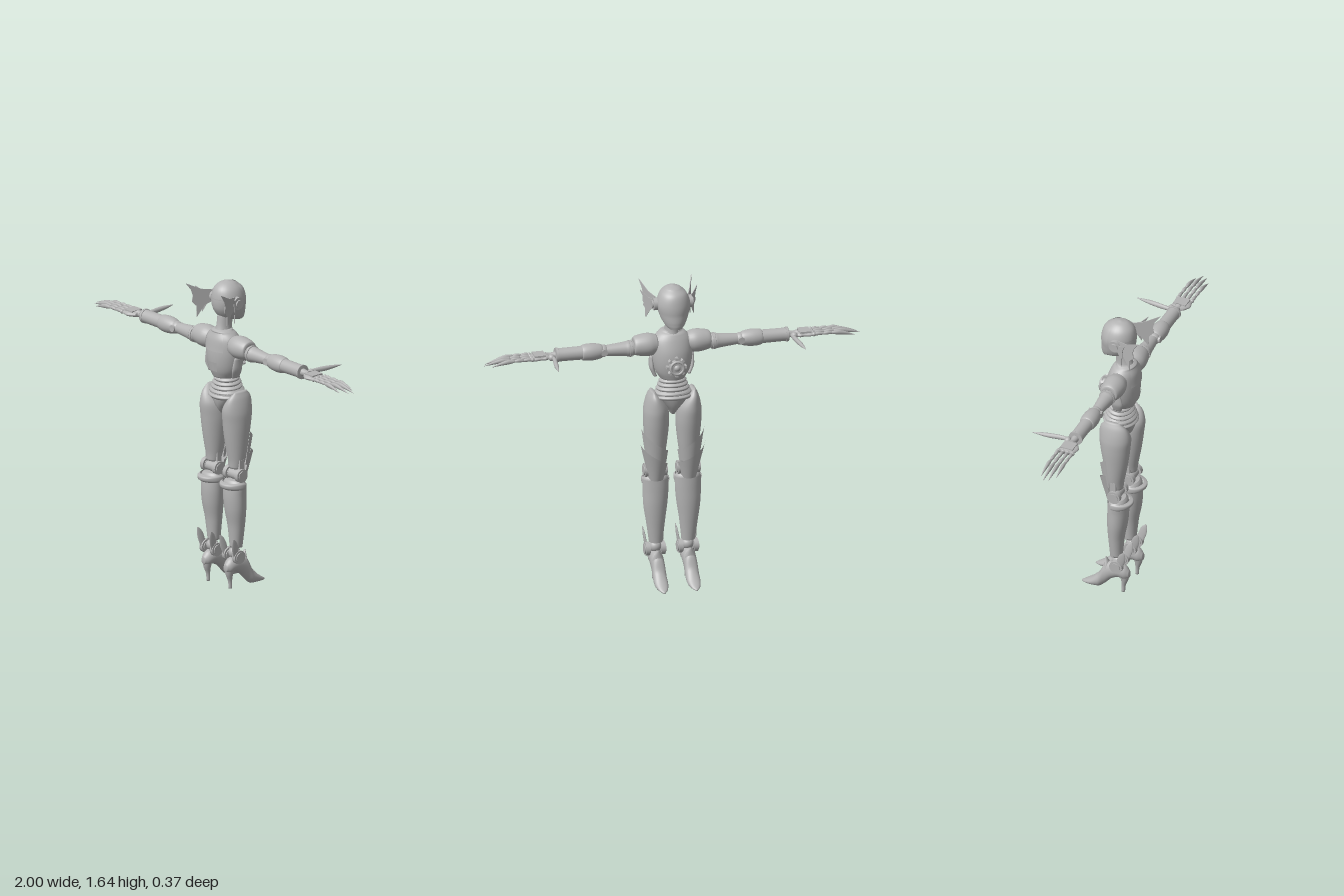
import * as THREE from 'three';
import { mergeVertices } from 'three/addons/utils/BufferGeometryUtils.js';

const metal = new THREE.MeshStandardMaterial({ color: 0xb4b4b4, side: THREE.DoubleSide });
metal.name = 'pale grey';

function add(parent, name, geo, pos = [0, 0, 0], rot = [0, 0, 0]) {
  const m = new THREE.Mesh(geo, metal);
  m.name = name;
  m.position.set(...pos);
  m.rotation.set(...rot);
  parent.add(m);
  return m;
}

// Smooth surface from a rule f(u, v) -> [x, y, z]
function grid(f, nu, nv) {
  const p = [], idx = [];
  for (let j = 0; j <= nv; j++) for (let i = 0; i <= nu; i++) p.push(...f(i / nu, j / nv));
  for (let j = 0; j < nv; j++) for (let i = 0; i < nu; i++) {
    const a = j * (nu + 1) + i, b = a + nu + 1;
    idx.push(a, a + 1, b, a + 1, b + 1, b);
  }
  let g = new THREE.BufferGeometry();
  g.setAttribute('position', new THREE.Float32BufferAttribute(p, 3));
  g.setIndex(idx);
  g = mergeVertices(g, 1e-5);
  g.computeVertexNormals();
  return g;
}

// Closed ellipse loft along y; each section is [y, cx, cz, rx, rz]
function loft(s, n = 28, arc = [0, Math.PI * 2], grow = 0) {
  const close = arc[1] - arc[0] > 6.2;
  const list = close ? [[...s[0].slice(0, 3), 0, 0], ...s, [...s[s.length - 1].slice(0, 3), 0, 0]] : s;
  const at = (t) => {
    if (close && t === 0) return list[0];
    if (close && t === 1) return list[list.length - 1];
    return [A.getPoint(close ? (t - e) / (1 - 2 * e) : t), B.getPoint(close ? (t - e) / (1 - 2 * e) : t)]
      .flatMap((q, k) => k ? [q.x, q.y] : [q.x, q.y, q.z]);
  };
  const A = new THREE.CatmullRomCurve3(s.map((q) => new THREE.Vector3(q[0], q[3], q[4])));
  const B = new THREE.CatmullRomCurve3(s.map((q) => new THREE.Vector3(q[1], q[2], 0)));
  const nv = s.length * 5, e = 1 / nv;
  return grid((u, v) => {
    const q = at(v), a = arc[0] + (arc[1] - arc[0]) * u;
    let [y, rx, rz, cx, cz] = q;
    if (close && (v === 0 || v === 1)) [y, cx, cz, rx, rz] = q;
    rx = Math.max(0, rx + (rx ? grow : 0));
    rz = Math.max(0, rz + (rz ? grow : 0));
    return [cx + Math.sin(a) * rx, y, cz + Math.cos(a) * rz];
  }, n, nv);
}

const ball = (r) => new THREE.SphereGeometry(r, 24, 16);
const disc = (r, h) => new THREE.CylinderGeometry(r, r, h, 28);
const SIDE = [0, 0, Math.PI / 2], ALONG_X = [0, 0, -Math.PI / 2], ALONG_Z = [-Math.PI / 2, 0, 0];

function buildHead(g) {
  const skull = [[1.425, 0, -0.045, 0.03, 0.028], [1.45, 0, -0.008, 0.056, 0.07], [1.5, 0, 0.01, 0.077, 0.088],
    [1.55, 0, 0.013, 0.085, 0.09], [1.6, 0, 0.015, 0.07, 0.077], [1.63, 0, 0.017, 0.04, 0.045], [1.642, 0, 0.018, 0.006, 0.006]];
  add(g, 'head', loft(skull));
  add(g, 'facePlate', loft(skull.slice(0, 6), 24, [Math.PI * 0.62, Math.PI * 1.38], 0.005));
  add(g, 'crownSeam', loft([[1.553, 0, 0.013, 0.086, 0.091], [1.558, 0, 0.013, 0.086, 0.091]], 24, [-1.5, 1.5]));
  add(g, 'neck', loft([[1.36, 0, 0.045, 0.045, 0.055], [1.4, 0, 0.04, 0.036, 0.045], [1.47, 0, 0.03, 0.036, 0.045]]));
}

function buildTorso(g) {
  const chest = [[1.13, 0, 0.03, 0.066, 0.066], [1.17, 0, 0.032, 0.09, 0.08], [1.22, 0, 0.033, 0.103, 0.088],
    [1.28, 0, 0.036, 0.108, 0.086], [1.34, 0, 0.042, 0.1, 0.072], [1.375, 0, 0.045, 0.07, 0.056], [1.39, 0, 0.045, 0.045, 0.045]];
  add(g, 'chest', loft(chest, 36));
  add(g, 'upperBackPanel', loft(chest.slice(3, 6), 16, [-0.66, 0.66], 0.005));
  add(g, 'lowerBackPanel', loft(chest.slice(1, 3), 12, [-0.3, 0.3], 0.005));
  // Ribbed waist
  for (let i = 0; i < 5; i++) {
    const y = 1.13 - i * 0.021, r = 0.066 + i * 0.008;
    add(g, 'waistRing', loft([[y - 0.02, 0, 0.022, r, r * 0.86], [y - 0.008, 0, 0.022, r + 0.007, r * 0.86 + 0.007],
      [y + 0.004, 0, 0.022, r - 0.004, r * 0.86 - 0.004]]), [0, 0, 0], [0.08, 0, 0]).position.z = -0.09 + (i * 0.0015);
  }
  add(g, 'pelvis', loft([[0.93, 0, 0.03, 0.012, 0.03], [0.96, 0, 0.028, 0.03, 0.055], [1.0, 0, 0.025, 0.064, 0.073],
    [1.05, 0, 0.022, 0.1, 0.08], [1.07, 0, 0.022, 0.085, 0.07]], 32));
  // Round mechanism on the chest front
  add(g, 'coreHub', disc(0.036, 0.05), [0, 1.215, -0.06], ALONG_Z);
  add(g, 'coreRing', new THREE.TorusGeometry(0.034, 0.007, 10, 28), [0, 1.215, -0.083]);
  add(g, 'coreLens', ball(0.02), [0, 1.215, -0.075]);
  for (let i = 0; i < 8; i++) {
    const a = i * Math.PI / 4;
    add(g, 'coreTooth', new THREE.BoxGeometry(0.014, 0.014, 0.03), [Math.cos(a) * 0.046, 1.215 + Math.sin(a) * 0.046, -0.06], [0, 0, a]);
  }
}

function buildEar(g) {
  add(g, 'earDisc', disc(0.033, 0.03), [0.087, 1.54, 0.028], SIDE);
  add(g, 'earCap', disc(0.02, 0.04), [0.09, 1.54, 0.028], SIDE);
  const fin = new THREE.Shape([[0, 0.035], [0.065, 0.045], [0.15, 0.085], [0.12, 0.045], [0.11, 0.015], [0.115, -0.02], [0.09, -0.045],
    [0.088, -0.105], [0.045, -0.045], [0, -0.025]].map((q) => new THREE.Vector2(...q)));
  const geo = new THREE.ExtrudeGeometry(fin, { depth: 0.004, bevelEnabled: false });
  add(g, 'earFin', geo, [0.09, 1.54, 0.04], [0, -Math.PI / 2 + 0.35, 0]);
  const small = add(g, 'innerEarFin', geo, [0.092, 1.53, 0.04], [0, -Math.PI / 2 + 0.75, 0]);
  small.scale.set(0.6, 0.75, 1);
}

function buildArm(g) {
  const arm = new THREE.Group();
  arm.name = 'arm';
  arm.position.set(0, 1.3, 0.042);
  g.add(arm);
  const parts = {
    shoulder: [[0.08, 0.05], [0.12, 0.06], [0.165, 0.057], [0.2, 0.047], [0.205, 0.036]],
    upperArm: [[0.2, 0.037], [0.23, 0.041], [0.25, 0.038], [0.33, 0.03], [0.36, 0.027]],
    forearmBulge: [[0.365, 0.03], [0.38, 0.038], [0.43, 0.045], [0.475, 0.04], [0.48, 0.035]],
    forearm: [[0.47, 0.036], [0.53, 0.035], [0.6, 0.035], [0.615, 0.036]],
    cuff: [[0.605, 0.038], [0.618, 0.038]],
    wrist: [[0.615, 0.02], [0.65, 0.016], [0.67, 0.02]],
  };
  for (const [name, s] of Object.entries(parts))
    add(arm, name, loft(s.map(([x, r]) => [x, name === 'shoulder' ? -0.013 : 0, 0, r, r])), [0, 0, 0], ALONG_X);
  add(arm, 'elbow', ball(0.033), [0.365, 0, 0]);
  add(arm, 'elbowPin', disc(0.018, 0.076), [0.365, 0, 0], ALONG_Z);
  add(arm, 'shoulderBand', loft([[0.215, 0, 0, 0.044, 0.044], [0.228, 0, 0, 0.044, 0.044]]), [0, 0, 0], ALONG_X);
  // Hand
  add(arm, 'palm', loft([[0.655, 0, 0, 0.013, 0.03], [0.68, 0, 0.002, 0.016, 0.045], [0.73, 0, 0.002, 0.014, 0.047],
    [0.75, 0, 0.002, 0.01, 0.044]]), [0, -0.002, 0], ALONG_X);
  add(arm, 'handPlate', new THREE.BoxGeometry(0.06, 0.012, 0.07), [0.705, 0.01, 0.002]);
  [0.965, 1, 0.99, 0.95].forEach((end, i) => {
    const z = -0.036 + i * 0.026, L = end - 0.745;
    const seg = (a, b) => [[0.745 + L * a, 0, z, 0.007, 0.007], [0.745 + L * (a + b) / 2, -0.002, z, 0.0095, 0.009], [0.745 + L * b, 0, z, 0.006, 0.006]];
    add(arm, 'fingerBase', loft(seg(0, 0.25), 10), [0, 0, 0], ALONG_X);
    add(arm, 'fingerMiddle', loft(seg(0.24, 0.46), 10), [0, 0, 0], ALONG_X);
    add(arm, 'fingerClaw', loft([[0.745 + L * 0.45, 0, z, 0.007, 0.007], [0.745 + L * 0.6, 0.001, z, 0.012, 0.009],
      [0.745 + L * 0.8, 0.009, z, 0.008, 0.006], [end, 0.022, z, 0.001, 0.001]], 10), [0, 0, 0], ALONG_X);
    add(arm, 'knuckle', ball(0.011), [0.748, 0, z]);
  });
  // Curved thumb blade reaching forward
  add(arm, 'thumbBase', ball(0.018), [0.645, 0, -0.03]);
  add(arm, 'thumbBlade', loft([[0.02, 0.634, 0, 0.009, 0.009], [0.08, 0.639, 0, 0.011, 0.013], [0.14, 0.647, 0, 0.012, 0.012],
    [0.19, 0.652, 0, 0.008, 0.007], [0.23, 0.657, 0, 0.001, 0.001]], 12), [0, 0, 0], ALONG_Z);
}

// Flared guard around the leg front, rising to a point on the outer side
function guard(low, inner, outer, r0, flare) {
  return grid((u, v) => {
    const a = Math.PI + 1.35 - 2.7 * u, top = inner + (outer - inner) * u ** 1.5;
    const y = low + (top - low) * v, r = r0 + flare * (y - low);
    return [0.087 + Math.sin(a) * r, y, 0.03 + Math.cos(a) * r * 1.1];
  }, 20, 8);
}

function buildLeg(g) {
  add(g, 'thigh', loft([[0.65, 0.087, 0.035, 0.036, 0.036], [0.7, 0.087, 0.03, 0.047, 0.047], [0.8, 0.086, 0.03, 0.06, 0.065],
    [0.9, 0.086, 0.028, 0.067, 0.08], [0.97, 0.088, 0.028, 0.062, 0.086], [1.03, 0.1, 0.024, 0.035, 0.072], [1.065, 0.108, 0.02, 0.01, 0.04]], 32));
  add(g, 'thighGuard', guard(0.67, 0.73, 0.86, 0.055, 0.15));
  add(g, 'kneeGuard', guard(0.57, 0.66, 0.77, 0.04, 0.24));
  // Knee joint
  add(g, 'kneeBar', disc(0.027, 0.1), [0.087, 0.615, 0.04], SIDE);
  for (const x of [0.042, 0.134]) {
    add(g, 'kneeDisc', disc(0.036, 0.024), [x, 0.617, 0.042], SIDE);
    add(g, 'kneeCap', disc(0.026, 0.034), [x, 0.617, 0.042], SIDE);
    add(g, 'kneeLink', new THREE.BoxGeometry(0.014, 0.1, 0.03), [x + (x < 0.08 ? 0.006 : -0.006), 0.65, 0.035]);
  }
  const calf = [[0.22, 0.086, 0.037, 0.032, 0.03], [0.27, 0.087, 0.037, 0.038, 0.034], [0.34, 0.088, 0.038, 0.047, 0.04],
    [0.43, 0.088, 0.044, 0.06, 0.05], [0.51, 0.086, 0.047, 0.065, 0.052], [0.57, 0.086, 0.045, 0.066, 0.048], [0.59, 0.086, 0.043, 0.05, 0.038]];
  add(g, 'calf', loft(calf, 32));
  add(g, 'shinPlate', loft(calf.slice(0, 6), 20, [Math.PI * 0.55, Math.PI * 1.45], 0.005));
  add(g, 'calfBand', loft([[0.545, 0.086, 0.045, 0.07, 0.066], [0.555, 0.086, 0.045, 0.073, 0.078], [0.572, 0.086, 0.045, 0.072, 0.08],
    [0.58, 0.086, 0.045, 0.066, 0.06]], 24, [-1.75, 1.75]));
  // Ankle joint
  add(g, 'ankle', ball(0.032), [0.086, 0.19, 0.045]);
  for (const x of [0.047, 0.128]) {
    add(g, 'ankleDisc', disc(0.036, 0.022), [x, 0.175, 0.052], SIDE);
    add(g, 'ankleCap', disc(0.026, 0.032), [x, 0.175, 0.052], SIDE);
    const s = x < 0.08 ? -1 : 1;
    add(g, 'ankleFin', loft([[0, 0, 0, 0.006, 0.018], [0.05, 0, 0.008, 0.006, 0.022], [0.085, 0, 0.014, 0.004, 0.015], [0.105, 0, 0.02, 0.001, 0.003]], 12),
      [x, 0.18, 0.07], [0.08, 0, -s * 0.12]);
  }
  // High-heeled foot, heel to toe
  add(g, 'foot', loft([[-0.108, 0.086, 0.115, 0.014, 0.018], [-0.085, 0.086, 0.122, 0.03, 0.038], [-0.05, 0.086, 0.13, 0.036, 0.042],
    [-0.01, 0.086, 0.12, 0.036, 0.052], [0.03, 0.086, 0.088, 0.035, 0.062], [0.06, 0.086, 0.045, 0.036, 0.044],
    [0.1, 0.086, 0.024, 0.034, 0.024], [0.14, 0.086, 0.01, 0.02, 0.01], [0.16, 0.086, 0.004, 0.004, 0.004]]), [0, 0, 0], ALONG_Z);
  add(g, 'instepTongue', loft([[0.09, 0.086, -0.025, 0.033, 0.02], [0.14, 0.086, -0.016, 0.028, 0.016], [0.19, 0.086, -0.026, 0.004, 0.003]], 16));
  add(g, 'heel', loft([[0, 0.086, 0.073, 0.009, 0.009], [0.04, 0.086, 0.075, 0.011, 0.011], [0.08, 0.086, 0.08, 0.019, 0.021],
    [0.115, 0.086, 0.078, 0.027, 0.03]], 18));
}

export function createModel() {
  const model = new THREE.Group();
  model.name = 'robotFigure';
  buildHead(model);
  buildTorso(model);
  for (const s of [1, -1]) {
    const half = new THREE.Group();
    half.name = s > 0 ? 'leftSide' : 'rightSide';
    buildEar(half);
    buildArm(half);
    buildLeg(half);
    // Rib guard on the flank
    add(half, 'ribGuard', loft([[1.14, 0.09, 0.04, 0.01, 0.025], [1.19, 0.107, 0.045, 0.012, 0.032], [1.25, 0.11, 0.045, 0.008, 0.02]], 14));
    half.scale.x = s;
    model.add(half);
  }
  return model;
}
